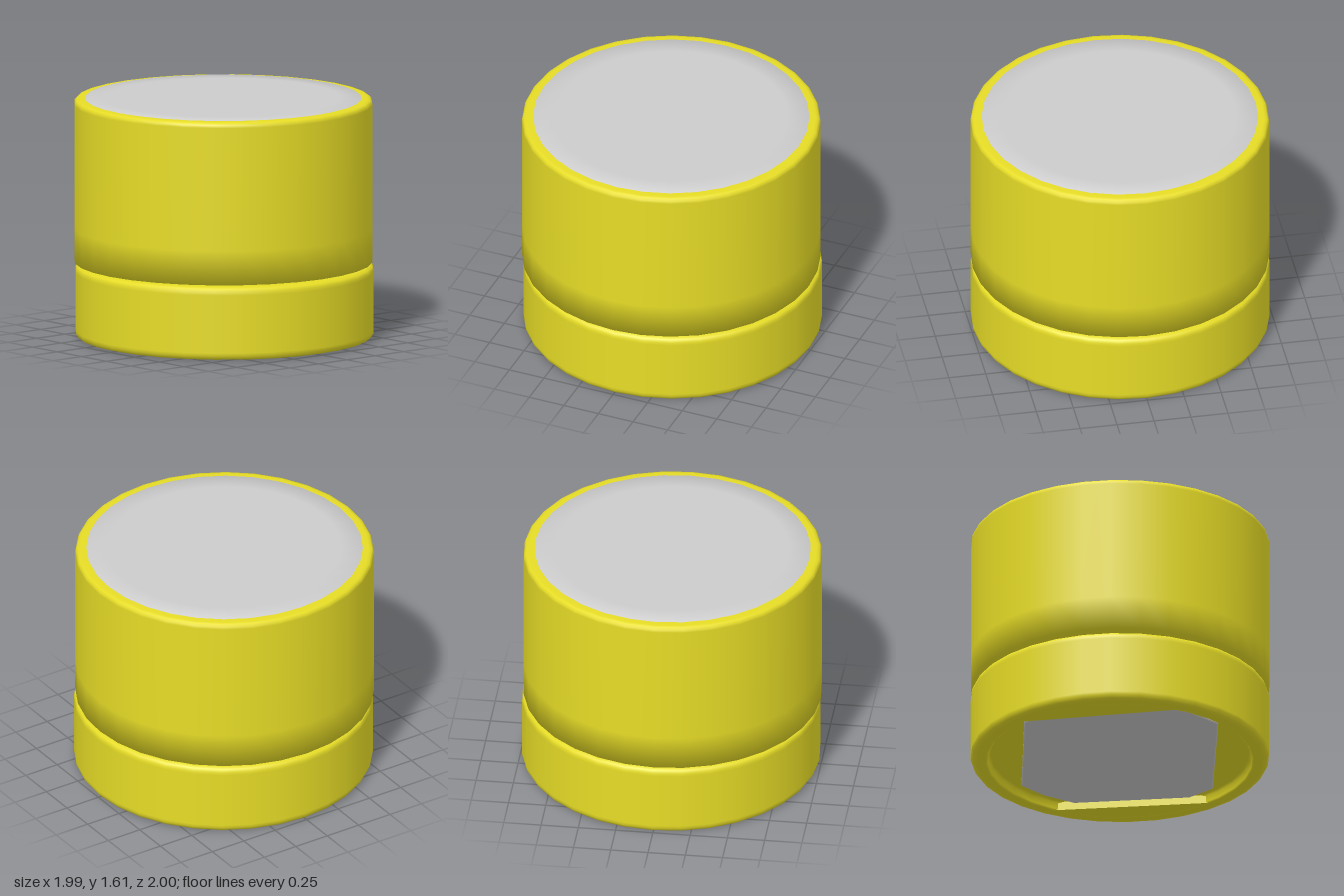
import * as THREE from 'three';

const SEG = 32;
const yellow = new THREE.MeshStandardMaterial({ color: 0xe6dc26, side: THREE.DoubleSide });
const grey = new THREE.MeshStandardMaterial({ color: 0xcccccc, side: THREE.DoubleSide });
const rad = THREE.MathUtils.degToRad;

// Turned part from [radius, height] pairs, listed bottom to top along the outside
function turned(name, pts, material, z = 0) {
  const profile = pts.map(([r, y]) => new THREE.Vector2(r, y));
  const mesh = new THREE.Mesh(new THREE.LatheGeometry(profile, SEG), material);
  mesh.name = name;
  mesh.position.z = z;
  return mesh;
}

// Flat outline in x and z, hanging down from the recess ceiling
function hanging(name, shape, options, material) {
  const geo = new THREE.ExtrudeGeometry(shape, options);
  geo.rotateX(Math.PI / 2);
  const mesh = new THREE.Mesh(geo, material);
  mesh.name = name;
  mesh.position.set(0, 0.06, -0.005);
  return mesh;
}

export function createModel() {
  const group = new THREE.Group();
  group.name = 'roundContainer';

  // Lower ring: shallow recess underneath, rounded rims, flat top
  group.add(turned('base', [
    [0, 0.06], [0.86, 0.06], [0.88, 0.05], [0.88, 0.01], [0.89, 0], [0.9, 0],
    [0.95, 0], [0.98, 0.008], [0.994, 0.03], [0.994, 0.05],
    [0.994, 0.44], [0.994, 0.46], [0.985, 0.48], [0.96, 0.49], [0.93, 0.49], [0.69, 0.49],
  ], yellow, -0.005));

  // Two flats closing opposite sides of the recess
  for (const mid of [108.5, 284.5]) {
    const flat = new THREE.Shape();
    flat.absarc(0, 0, 0.895, rad(mid - 36), rad(mid + 36), false);
    group.add(hanging('recessFlat', flat, { depth: 0.059, bevelEnabled: false }, yellow));
  }

  // Narrow neck seen in the seam
  group.add(turned('neck', [[0.69, 0.45], [0.69, 0.55]], yellow));

  // Upper body, softly shaded toward its lower edge
  group.add(turned('body', [
    [0.69, 0.51], [0.994, 0.51], [0.994, 0.74], [0.994, 1.57],
    [0.992, 1.588], [0.98, 1.602], [0.96, 1.606], [0.92, 1.607],
  ], yellow, 0.005));

  // Lid insert, shaded as a gentle pillow
  group.add(turned('topInsert', [
    [0.92, 1.55], [0.92, 1.61], [0.78, 1.612], [0, 1.612],
  ], grey, 0.005));

  // Underside plate: a disc with four long flats and blunt corners
  const plate = new THREE.Shape([180, 162, 145, 88, 76, 0, -15, -31, -88, -102].map((deg) => {
    const a = rad(deg - 45);
    return new THREE.Vector2(-0.8 * Math.cos(a), 0.8 * Math.sin(a));
  }));
  group.add(hanging('bottomPlate', plate, {
    depth: 0.01, bevelThickness: 0.01, bevelSize: 0.015, bevelSegments: 2,
  }, grey));

  return group;
}
